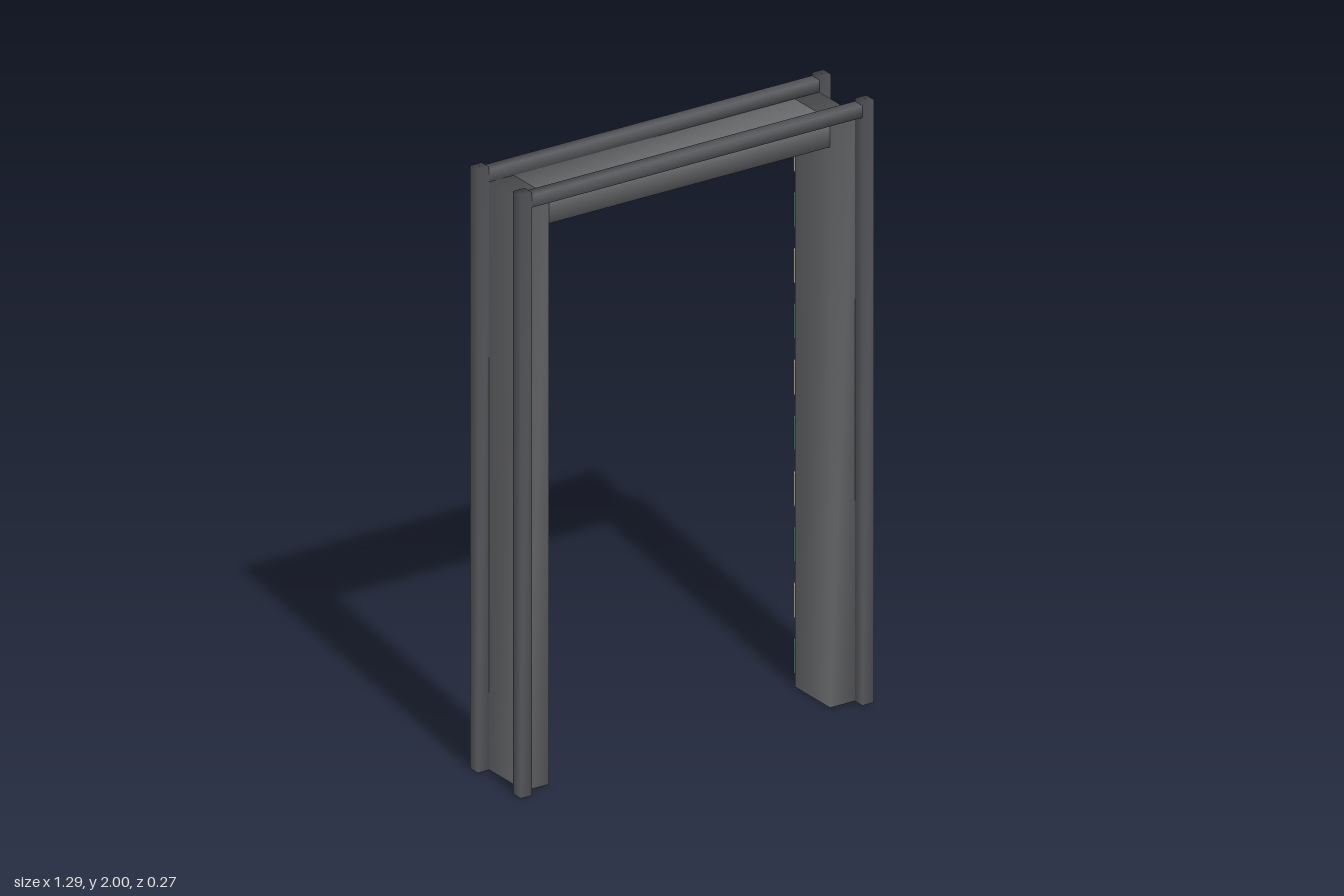
import * as THREE from 'three';
import { mergeVertices } from 'three/addons/utils/BufferGeometryUtils.js';
import { RoundedBoxGeometry } from 'three/addons/geometries/RoundedBoxGeometry.js';

const paint = (color) => new THREE.MeshStandardMaterial({ color });

// Box spanning two corners, with normals shared across its edges for a soft, rolled-metal shading
function softBox(name, min, max, material) {
  const size = max.map((v, i) => v - min[i]);
  let geometry = new THREE.BoxGeometry(...size);
  geometry.deleteAttribute('normal');
  geometry.deleteAttribute('uv');
  geometry = mergeVertices(geometry);
  geometry.computeVertexNormals();
  const mesh = new THREE.Mesh(geometry, material);
  mesh.position.set(...max.map((v, i) => (v + min[i]) / 2));
  mesh.name = name;
  return mesh;
}

export function createModel() {
  const group = new THREE.Group();
  group.name = 'gateFrame';
  const panel = paint(0x68696b);
  const rail = paint(0x55565a);
  const cream = paint(0xbdb8a8);
  const green = paint(0x4f7a68);

  const xIn = 0.515, xOut = 0.605, xEdge = 0.647;
  const zIn = 0.096, zEdge = 0.137;

  // Lintel panel between the posts
  group.add(softBox('lintel', [-xIn, 1.86, -zIn], [xIn, 1.95, zIn], panel));

  // Crossbars along the front and back of the top
  for (const [name, z0, z1] of [['frontCrossbar', zIn, zEdge], ['backCrossbar', -zEdge, -zIn]]) {
    group.add(softBox(name, [-xOut, 1.95, z0], [xOut, 1.99, z1], rail));
  }

  const tileGeometry = new RoundedBoxGeometry(0.07, 0.125, 0.039, 3, 0.012);
  for (const side of [1, -1]) {
    const label = side > 0 ? 'left' : 'right';
    const span = (a, b) => (side > 0 ? [a, b] : [-b, -a]);

    // Side post
    const [p0, p1] = span(xIn, xOut);
    group.add(softBox(label + 'Post', [p0, 0, -zIn], [p1, 1.95, zIn], panel));

    // Upright corner rails
    const [r0, r1] = span(xOut, xEdge);
    group.add(softBox(label + 'FrontRail', [r0, 0, zIn], [r1, 2, zEdge], rail));
    group.add(softBox(label + 'BackRail', [r0, 0, -zEdge], [r1, 2, -zIn], rail));

    // Column of indicator lamps on the back, alternating in colour
    const lamps = new THREE.Group();
    lamps.name = label + 'Lamps';
    for (let i = 0; i < 10; i++) {
      const lamp = new THREE.Mesh(tileGeometry, i % 2 ? green : cream);
      lamp.name = 'lamp';
      lamp.position.set(side * 0.566, 1.75 - i * 0.185, -0.116);
      lamps.add(lamp);
    }
    group.add(lamps);
  }
  return group;
}
